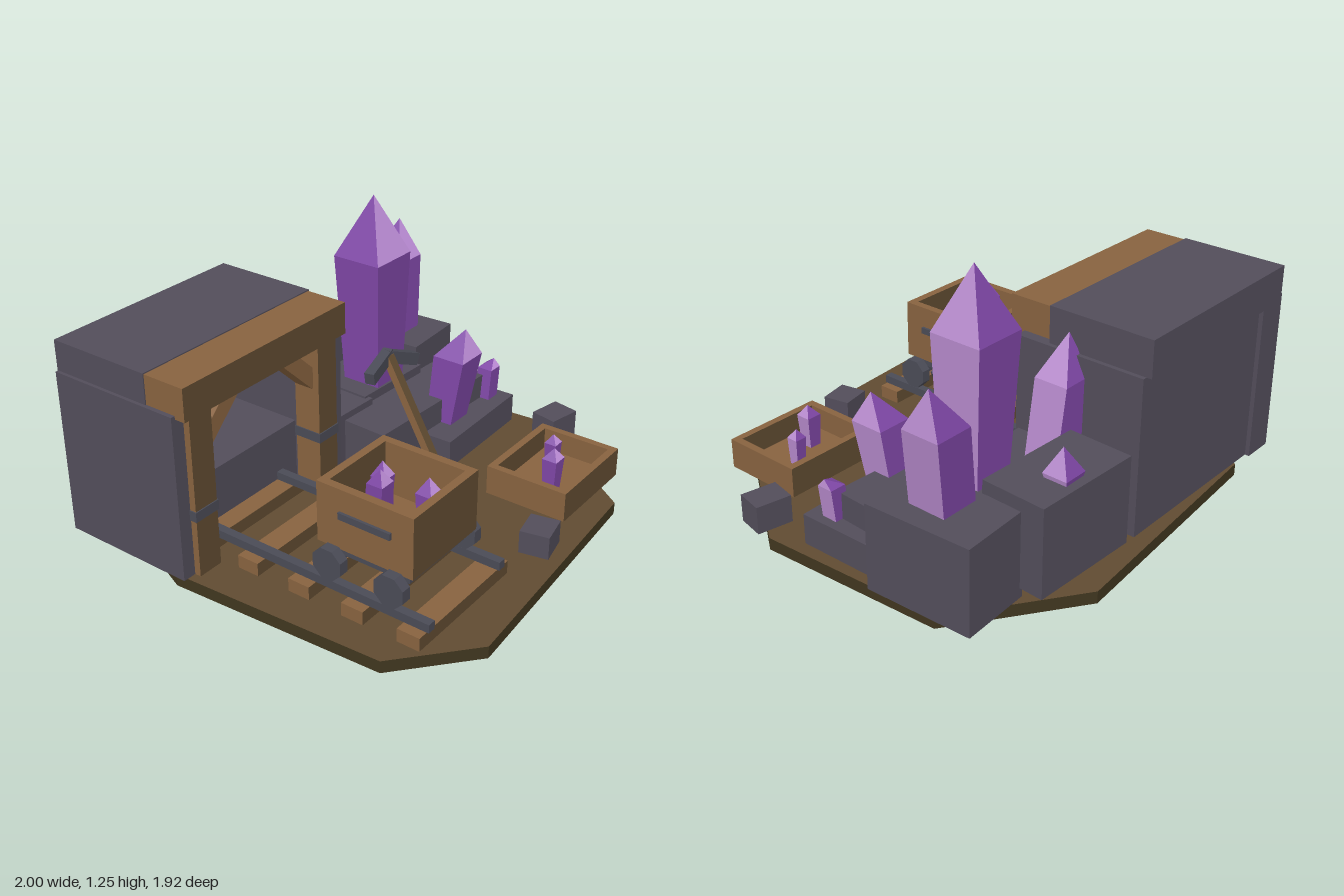
import * as THREE from 'three';

const mat = (name, color) => {
  const m = new THREE.MeshStandardMaterial({ color, flatShading: true });
  m.name = name;
  return m;
};

export function createModel() {
  const root = new THREE.Group();
  root.name = 'crystalMine';

  const rock = mat('rock', 0x524d5a);
  const iron = mat('iron', 0x4a4b56);
  const dirt = mat('dirt', 0x604b31);
  const earth = mat('darkEarth', 0x40361f);
  const wood = mat('lightWood', 0x87623f);
  const grain = mat('darkWood', 0x604b31);
  const violet = mat('violet', 0x7f47a6);
  const lilac = mat('lilac', 0xc291dd);
  const mauve = mat('mauve', 0xb68acc);
  const timber = [wood, wood, wood, wood, grain, grain];

  const add = (name, geo, material, parent = root) => {
    const m = new THREE.Mesh(geo, material);
    m.name = name;
    parent.add(m);
    return m;
  };
  // Box given by its limits on each axis, with an optional turn about y
  const box = (name, [x0, x1], [y0, y1], [z0, z1], material, turn = 0, parent = root) => {
    const m = add(name, new THREE.BoxGeometry(x1 - x0, y1 - y0, z1 - z0), material, parent);
    m.position.set((x0 + x1) / 2, (y0 + y1) / 2, (z0 + z1) / 2);
    m.rotation.y = turn;
    return m;
  };
  // Box stretched along its x axis between two points
  const beam = (name, a, b, h, d, material, parent = root) => {
    const p = new THREE.Vector3(...a), q = new THREE.Vector3(...b);
    const m = add(name, new THREE.BoxGeometry(p.distanceTo(q), h, d), material, parent);
    m.position.copy(p).add(q).multiplyScalar(0.5);
    m.quaternion.setFromUnitVectors(new THREE.Vector3(1, 0, 0), q.sub(p).normalize());
    return m;
  };
  // Open-topped box with floor and four walls
  const tray = (name, [x0, x1], [y0, y1], [z0, z1], t, parent = root) => {
    const g = new THREE.Group();
    g.name = name;
    parent.add(g);
    box('floor', [x0 + t, x1 - t], [y0, y0 + t], [z0 + t, z1 - t], timber, 0, g);
    for (const x of [x0, x1 - t]) box('sideBoard', [x, x + t], [y0, y1], [z0, z1], timber, 0, g);
    for (const z of [z0, z1 - t]) box('endBoard', [x0 + t, x1 - t], [y0, y1], [z, z + t], timber, 0, g);
  };
  // Four-sided leaning crystal: widening shaft with a pointed tip
  const crystal = (name, base, shoulder, tip, w, w0 = w * 0.78) => {
    const ring = ([x, y, z], s) =>
      [[1, 1], [1, -1], [-1, -1], [-1, 1]].map(([i, j]) => [x + i * s / 2, y, z + j * s / 2]);
    const lo = ring(base, w0), hi = ring(shoulder, w);
    const pos = [], geo = new THREE.BufferGeometry();
    const shaftMat = [1, 0, 0, 0], tipMat = [1, 0, 0, 2];
    for (let i = 0; i < 4; i++) {
      const j = (i + 1) % 4;
      geo.addGroup(pos.length, 6, shaftMat[i]);
      pos.push(lo[i], lo[j], hi[j], lo[i], hi[j], hi[i]);
      geo.addGroup(pos.length, 3, tipMat[i]);
      pos.push(hi[i], hi[j], tip);
    }
    geo.addGroup(pos.length, 6, 0);
    pos.push(lo[0], lo[2], lo[1], lo[0], lo[3], lo[2]);
    geo.setAttribute('position', new THREE.Float32BufferAttribute(pos.flat(), 3));
    geo.computeVertexNormals();
    add(name, geo, [violet, mauve, lilac]);
  };

  // Ground slab
  const outline = [[-0.62, 0.955], [0.54, 0.87], [0.985, 0.25], [0.93, -0.6],
    [0.41, -0.965], [-0.75, -0.87], [-0.985, -0.3], [-0.93, 0.68]];
  const slab = new THREE.ExtrudeGeometry(
    new THREE.Shape(outline.map(([x, z]) => new THREE.Vector2(x, -z))), { depth: 0.055, bevelEnabled: false });
  slab.rotateX(-Math.PI / 2);
  add('ground', slab, [dirt, earth]);
  const under = new THREE.ShapeGeometry(new THREE.Shape(outline.map(([x, z]) => new THREE.Vector2(x, z))));
  under.rotateX(Math.PI / 2);
  add('groundUnderside', under, earth).position.y = -0.001;

  // Mine entrance
  const mine = new THREE.Group();
  mine.name = 'mineEntrance';
  root.add(mine);
  box('roof', [-0.985, 0], [0.77, 0.935], [-0.885, -0.39], rock, 0, mine);
  box('backWall', [-0.96, -0.02], [0.055, 0.77], [-0.86, -0.74], rock, 0, mine);
  box('rightWall', [-1, -0.85], [0.055, 0.8], [-0.88, -0.24], rock, 0, mine);
  box('leftWall', [-0.13, 0.02], [0.055, 0.77], [-0.86, -0.24], rock, 0, mine);
  box('innerLedge', [-0.85, -0.13], [0.055, 0.355], [-0.75, -0.38], rock, 0, mine);
  box('lintel', [-0.98, -0.005], [0.785, 0.93], [-0.39, -0.19], timber, 0, mine);
  for (const s of [-1, 1]) {
    const x = -0.493 + s * 0.385;
    box('post', [x - 0.06, x + 0.06], [0.055, 0.785], [-0.34, -0.21], timber, 0, mine);
    box('postBand', [x - 0.065, x + 0.065], [0.315, 0.36], [-0.345, -0.205], iron, 0, mine);
    beam('brace', [-0.493 + s * 0.345, 0.6, -0.285], [-0.493 + s * 0.15, 0.79, -0.285], 0.075, 0.09, wood, mine);
  }

  // Track
  for (let i = 0; i < 5; i++) {
    const z = 0.713 - i * 0.2635;
    box('sleeper', [-0.8, -0.185], [0.055, 0.115], [z - 0.052, z + 0.052], timber);
  }
  for (const x of [-0.735, -0.245]) box('rail', [x - 0.019, x + 0.019], [0.115, 0.153], [-0.38, 0.775], iron);

  // Mine cart
  const cart = new THREE.Group();
  cart.name = 'mineCart';
  root.add(cart);
  tray('cartBody', [-0.71, -0.28], [0.282, 0.553], [0.215, 0.67], 0.037, cart);
  box('chassis', [-0.68, -0.31], [0.235, 0.282], [0.25, 0.635], iron, 0, cart);
  for (const z of [0.295, 0.59]) {
    box('axle', [-0.74, -0.24], [0.205, 0.24], [z - 0.018, z + 0.018], iron, 0, cart);
    for (const x of [-0.735, -0.245]) {
      const wheel = add('wheel', new THREE.CylinderGeometry(0.073, 0.073, 0.046, 8), iron, cart);
      wheel.geometry.rotateY(Math.PI / 8);
      wheel.rotation.z = Math.PI / 2;
      wheel.position.set(x, 0.224, z);
    }
  }
  for (const x of [-0.715, -0.275]) box('cartHandle', [x - 0.007, x + 0.007], [0.425, 0.455], [0.325, 0.57], iron, 0, cart);

  // Crate
  tray('crate', [0.255, 0.73], [0.07, 0.207], [0.385, 0.775], 0.034);

  // Rocks: x, y and z limits, then turn
  [
    [[0.12, 0.635], [0.1, 0.495], [-0.885, -0.585], -0.04],
    [[0.635, 0.955], [0.055, 0.437], [-0.775, -0.285], 0.055],
    [[0.02, 0.27], [0.055, 0.34], [-0.75, -0.25], -0.04],
    [[0.24, 0.66], [0.055, 0.35], [-0.6, -0.26], -0.04],
    [[0.06, 0.84], [0.055, 0.308], [-0.285, -0.015], -0.045],
    [[0.345, 0.91], [0.055, 0.192], [-0.23, 0.12], 0.025],
    [[0.825, 0.985], [0.055, 0.18], [0.285, 0.415], -0.2],
    [[-0.022, 0.122], [0.055, 0.16], [0.71, 0.84], 0.2],
  ].forEach(([x, y, z, turn]) => box('rock', x, y, z, rock, turn));

  // Growing crystals
  crystal('tallCrystal', [0.435, 0.3, -0.37], [0.425, 0.968, -0.368], [0.432, 1.245, -0.365], 0.245, 0.19);
  crystal('rightCrystal', [0.765, 0.4, -0.5], [0.833, 0.785, -0.535], [0.88, 0.962, -0.545], 0.175, 0.175);
  crystal('leftCrystal', [0.11, 0.3, -0.5], [0.055, 0.68, -0.505], [0.015, 0.86, -0.5], 0.16, 0.16);
  crystal('frontCrystal', [0.55, 0.18, -0.03], [0.572, 0.515, 0.01], [0.595, 0.64, 0.035], 0.16, 0.135);
  crystal('smallCrystal', [0.83, 0.17, 0.01], [0.85, 0.34, 0.01], [0.88, 0.375, 0.018], 0.075, 0.075);
  crystal('backCrystal', [0.415, 0.46, -0.79], [0.415, 0.515, -0.79], [0.42, 0.625, -0.79], 0.115);

  // Loose crystals in the cart and crate
  crystal('cartCrystal', [-0.56, 0.32, 0.4], [-0.58, 0.555, 0.42], [-0.59, 0.62, 0.43], 0.075, 0.08);
  crystal('cartCrystal', [-0.42, 0.32, 0.315], [-0.42, 0.47, 0.315], [-0.42, 0.535, 0.315], 0.07);
  crystal('cartCrystal', [-0.41, 0.32, 0.525], [-0.405, 0.46, 0.525], [-0.4, 0.525, 0.525], 0.075);
  crystal('crateCrystal', [0.41, 0.1, 0.62], [0.415, 0.255, 0.62], [0.418, 0.303, 0.622], 0.072);
  crystal('crateCrystal', [0.565, 0.1, 0.535], [0.565, 0.235, 0.535], [0.565, 0.275, 0.535], 0.057);

  // Leaning pickaxe
  const pick = new THREE.Group();
  pick.name = 'pickaxe';
  root.add(pick);
  const shaft = add('handle', new THREE.BoxGeometry(0.042, 0.64, 0.036), timber, pick);
  const foot = new THREE.Vector3(0.072, 0.13, 0.3), top = new THREE.Vector3(0.108, 0.68, -0.05);
  shaft.position.copy(foot).add(top).multiplyScalar(0.5);
  shaft.quaternion.setFromUnitVectors(new THREE.Vector3(0, 1, 0), top.clone().sub(foot).normalize());
  beam('pickArm', [-0.06, 0.64, -0.02], [0.13, 0.675, -0.06], 0.055, 0.045, iron, pick);
  beam('pickArm', [0.1, 0.675, -0.06], [0.285, 0.6, -0.03], 0.055, 0.045, iron, pick);

  return root;
}
